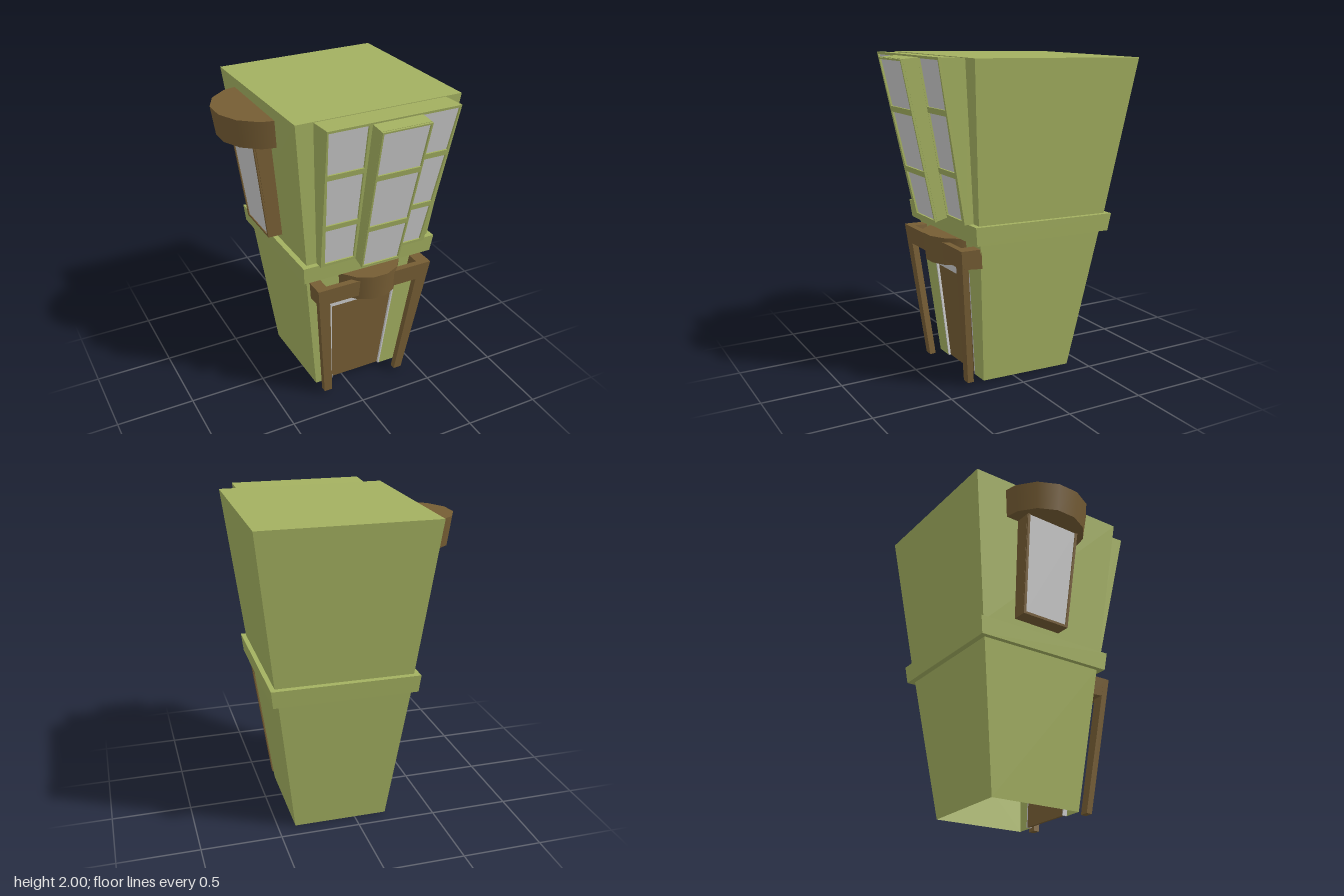
import * as THREE from 'three';

const mat = (color) => new THREE.MeshStandardMaterial({ color, side: THREE.DoubleSide });
const GREEN = mat(0xa3b060), BROWN = mat(0x765d34), GREY = mat(0xcccccc);

function add(parent, name, geometry, material) {
  const mesh = new THREE.Mesh(geometry, material);
  mesh.name = name;
  parent.add(mesh);
  return mesh;
}

const flat = (g) => {
  const out = g.index ? g.toNonIndexed() : g;
  out.computeVertexNormals();
  return out;
};

// Tapered block between two rectangles [x0, x1, zBack, zFront, yBack, yFront];
// faces are numbered +x, -x, top, bottom, front, back
function taper(bottom, top, faces = [0, 1, 2, 3, 4, 5]) {
  const g = new THREE.BoxGeometry(1, 1, 1);
  const p = g.attributes.position;
  for (let i = 0; i < p.count; i++) {
    const r = p.getY(i) > 0 ? top : bottom;
    const front = p.getZ(i) > 0 ? 1 : 0;
    p.setXYZ(i, r[p.getX(i) > 0 ? 1 : 0], r[4 + front], r[2 + front]);
  }
  const index = Array.from(g.index.array);
  g.setIndex(faces.flatMap((f) => index.slice(f * 6, f * 6 + 6)));
  return flat(g);
}

// Plate drawn in x/y, laid on the sloping plane z = z0 + slope * y
function plate(points, z0, slope, depth = 0, holes = []) {
  const toVec = (pts) => pts.map(([x, y]) => new THREE.Vector2(x, y));
  const shape = new THREE.Shape(toVec(points));
  shape.holes = holes.map((h) => new THREE.Path(toVec(h)));
  const g = depth > 0
    ? new THREE.ExtrudeGeometry(shape, { depth, bevelEnabled: false })
    : new THREE.ShapeGeometry(shape);
  const p = g.attributes.position;
  for (let i = 0; i < p.count; i++) p.setZ(i, p.getZ(i) + z0 + slope * p.getY(i));
  return flat(g);
}

// One column of panes whose edges lean between the lowest and highest y
function paneColumn(rows, [l0, l1], [r0, r1]) {
  const yLow = rows[rows.length - 1][0], yHigh = rows[0][1];
  const at = (a, b, y) => a + ((b - a) * (y - yLow)) / (yHigh - yLow);
  return rows.map(([a, b]) => [
    [at(l0, l1, a), a], [at(r0, r1, a), a], [at(r0, r1, b), b], [at(l0, l1, b), b],
  ]);
}

// Window front: pierced frame with a pane set back in every opening
function glazing(parent, name, outline, panes, z0, slope, depth) {
  add(parent, name + 'Frame', plate(outline, z0 - depth, slope, depth, panes), GREEN);
  panes.forEach((p) => add(parent, name + 'Pane', plate(p, z0 - depth + 0.003, slope), GREY));
}

export function createModel() {
  const model = new THREE.Group();
  model.name = 'taperedHouse';

  // Lower storey: hollow, open underneath, doorway cut in the front
  add(model, 'lowerWalls', taper(
    [-0.205, 0.39, -0.40, 0.22, 0, 0.015],
    [-0.31, 0.51, -0.54, 0.31, 0.915, 0.93], [0, 1, 5]), GREEN);
  const wallZ = 0.2185, wallSlope = 0.0984;
  add(model, 'frontWall', plate([
    [-0.205, 0.015], [-0.09, 0.015], [-0.135, 0.7], [0.335, 0.7],
    [0.28, 0.015], [0.39, 0.015], [0.51, 0.93], [-0.31, 0.93],
  ], wallZ, wallSlope), GREEN);

  // Door set back in a pale frame
  add(model, 'doorFrame', plate([
    [-0.09, 0.015], [-0.083, 0.015], [-0.12, 0.65], [0.32, 0.65],
    [0.27, 0.015], [0.28, 0.015], [0.335, 0.7], [-0.135, 0.7],
  ], wallZ - 0.03, wallSlope, 0.03), GREY);
  add(model, 'door', plate([
    [-0.083, 0.015], [0.27, 0.015], [0.32, 0.65], [-0.12, 0.65],
  ], wallZ - 0.03, wallSlope, 0.015), BROWN);

  // Porch: two leaning posts with a lintel, side returns and a round canopy
  add(model, 'porchPosts', plate([
    [-0.195, 0.022], [-0.14, 0.022], [-0.2, 0.78], [0.41, 0.78],
    [0.335, 0.022], [0.39, 0.022], [0.505, 0.895], [-0.285, 0.895],
  ], 0.287, 0.115, 0.04), BROWN);
  for (const [a, b, lean] of [[-0.272, -0.2, -0.013], [0.41, 0.49, 0.015]]) {
    add(model, 'porchReturn', taper(
      [a, b, 0.285, 0.405, 0.77, 0.78],
      [a + lean, b + lean, 0.3, 0.42, 0.893, 0.895]), BROWN);
  }
  add(model, 'porchCanopy',
    new THREE.CylinderGeometry(0.2225, 0.206, 0.17, 7, 1, false, -Math.PI / 2, Math.PI), BROWN)
    .position.set(0.122, 0.836, 0.25);

  // Band between the storeys
  add(model, 'band', taper(
    [-0.34, 0.547, -0.575, 0.35, 0.91, 0.925],
    [-0.35, 0.56, -0.59, 0.365, 1.02, 1.04]), GREEN);

  // Upper storey
  add(model, 'upperWalls', taper(
    [-0.315, 0.53, -0.553, 0.33, 1.01, 1.03],
    [-0.415, 0.65, -0.69, 0.42, 1.975, 1.995]), GREEN);

  // Stepped front bay: a wide block and a central one in front of it
  const inset = 0.015;
  add(model, 'wideBay', taper(
    [-0.25, 0.47, 0.29, 0.39 - inset, 1.04, 1.04],
    [-0.305, 0.54, 0.4, 0.585 - inset, 1.99, 2.0]), GREEN);
  add(model, 'centreBay', taper(
    [-0.015, 0.245, 0.35, 0.47 - inset, 1.05, 1.023],
    [-0.03, 0.285, 0.55, 0.69 - inset, 1.992, 1.982]), GREEN);

  // Bay windows, three rows in each of three columns
  const sideRows = [[1.71, 1.985], [1.35, 1.675], [1.06, 1.315]];
  const midRows = [[1.695, 1.97], [1.33, 1.66], [1.03, 1.295]];
  const wideSlope = 0.203, midSlope = 0.229;
  glazing(model, 'wideBay',
    [[-0.25, 1.04], [0.47, 1.04], [0.54, 2], [-0.305, 2]],
    [...paneColumn(sideRows, [-0.225, -0.295], [-0.03, -0.05]),
      ...paneColumn(sideRows, [0.25, 0.285], [0.44, 0.53])],
    0.39 - 1.04 * wideSlope, wideSlope, inset);
  glazing(model, 'centreBay',
    [[-0.015, 1.02], [0.245, 1.02], [0.285, 1.98], [-0.03, 1.98]],
    paneColumn(midRows, [-0.005, -0.02], [0.235, 0.275]),
    0.47 - 1.02 * midSlope, midSlope, inset);

  // Side window under a round canopy, on the right wall
  add(model, 'sideWindowBox', taper(
    [-0.405, -0.3, -0.335, -0.005, 1.085, 1.085],
    [-0.49, -0.36, -0.365, 0.025, 1.76, 1.76]), BROWN);
  const pane = [[-0.318, 1.1], [-0.022, 1.1], [0.007, 1.735], [-0.347, 1.735]];
  const outer = [[-0.335, 1.085], [-0.005, 1.085], [0.025, 1.76], [-0.365, 1.76]];
  const sideZ = 0.415 - 1.085 * 0.13;
  add(model, 'sideWindowFrame', plate(outer, sideZ - 0.01, 0.13, 0.01, [pane])
    .rotateY(-Math.PI / 2), BROWN);
  add(model, 'sideWindowPane', plate(pane, sideZ - 0.006, 0.13)
    .rotateY(-Math.PI / 2), GREY);
  add(model, 'sideCanopy',
    new THREE.CylinderGeometry(0.314, 0.288, 0.178, 7, 1, false, -Math.PI, Math.PI), BROWN)
    .position.set(-0.349, 1.824, -0.17);

  return model;
}
